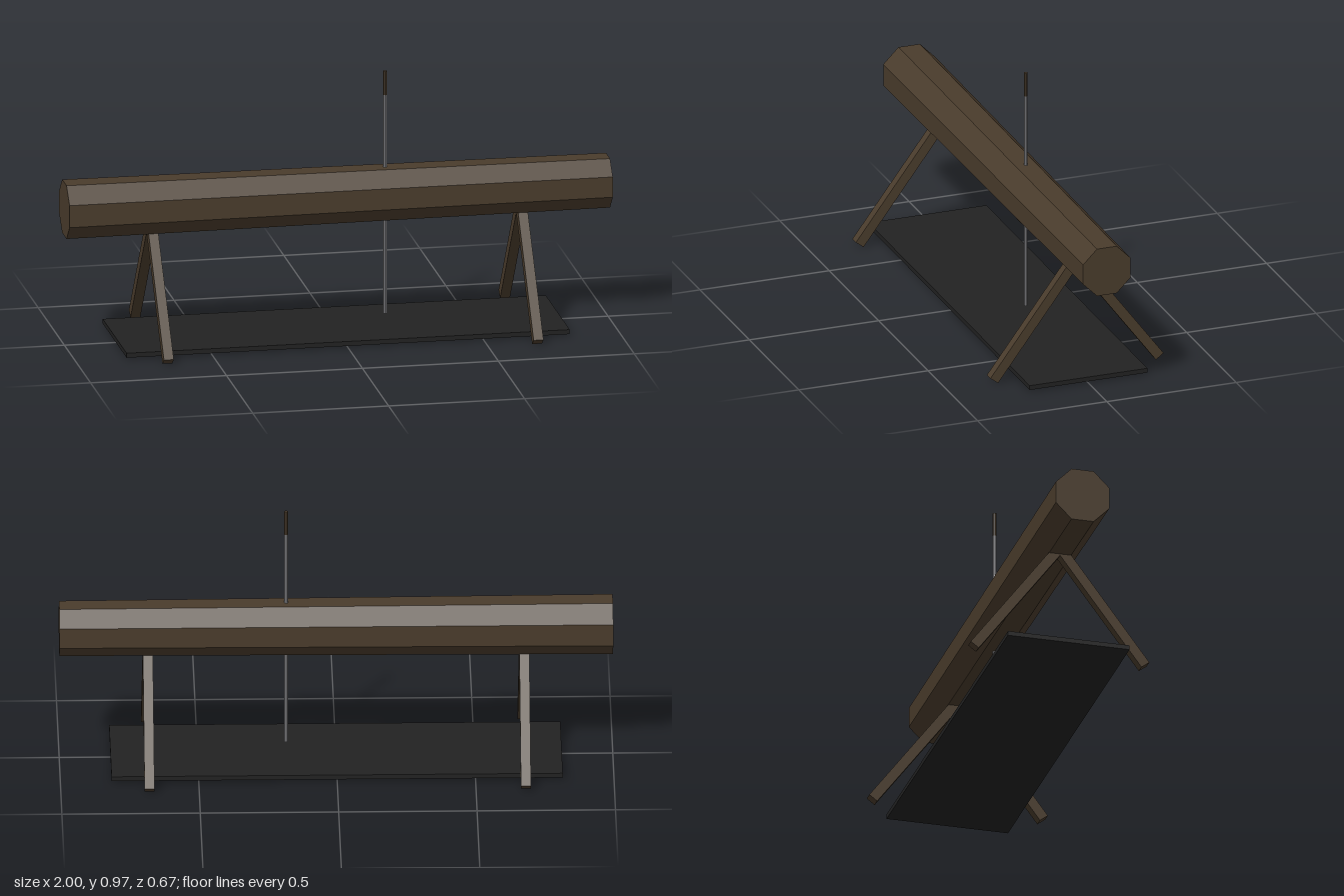
import * as THREE from 'three';

export function createModel() {
  const group = new THREE.Group();
  const mat = (name, color) => {
    const m = new THREE.MeshStandardMaterial({ color, flatShading: true });
    m.name = name;
    return m;
  };
  const wood = mat('dark wood', 0x4a3c2c);
  const steel = mat('grey metal', 0x88888c);
  const black = mat('black base', 0x222222);

  const add = (name, geometry, material, x, y, z) => {
    const mesh = new THREE.Mesh(geometry, material);
    mesh.name = name;
    mesh.position.set(x, y, z);
    group.add(mesh);
    return mesh;
  };

  // Tapered eight-sided log, thicker at -x, with flat faces up and down
  const k = Math.cos(Math.PI / 8);
  const log = new THREE.CylinderGeometry(0.092 / k, 0.1 / k, 2, 8);
  log.rotateY(Math.PI / 8);
  log.rotateZ(-Math.PI / 2);
  add('log', log, wood, 0, 0.514, 0);

  // Two pairs of splayed legs, meeting inside the log
  const length = 0.53;
  const angle = Math.atan2(0.6, 0.8);
  for (const x of [-0.68, 0.68]) {
    for (const side of [-1, 1]) {
      const leg = add(side > 0 ? 'frontLeg' : 'backLeg',
        new THREE.BoxGeometry(0.036, length, 0.037), wood,
        x, 0.014 + 0.4 * length, side * (0.32 - 0.3 * length));
      leg.rotation.x = -side * angle;
    }
  }

  // Thin base sheet
  add('baseSheet', new THREE.BoxGeometry(1.63, 0.017, 0.456), black, 0, 0.0185, 0);

  // Upright rod through the log, with a wooden grip on top
  const rod = (h) => new THREE.CylinderGeometry(0.0075, 0.0075, h, 8);
  add('rod', rod(0.82), steel, 0.18, 0.47, 0);
  add('rodGrip', rod(0.09), wood, 0.18, 0.925, 0);

  return group;
}
